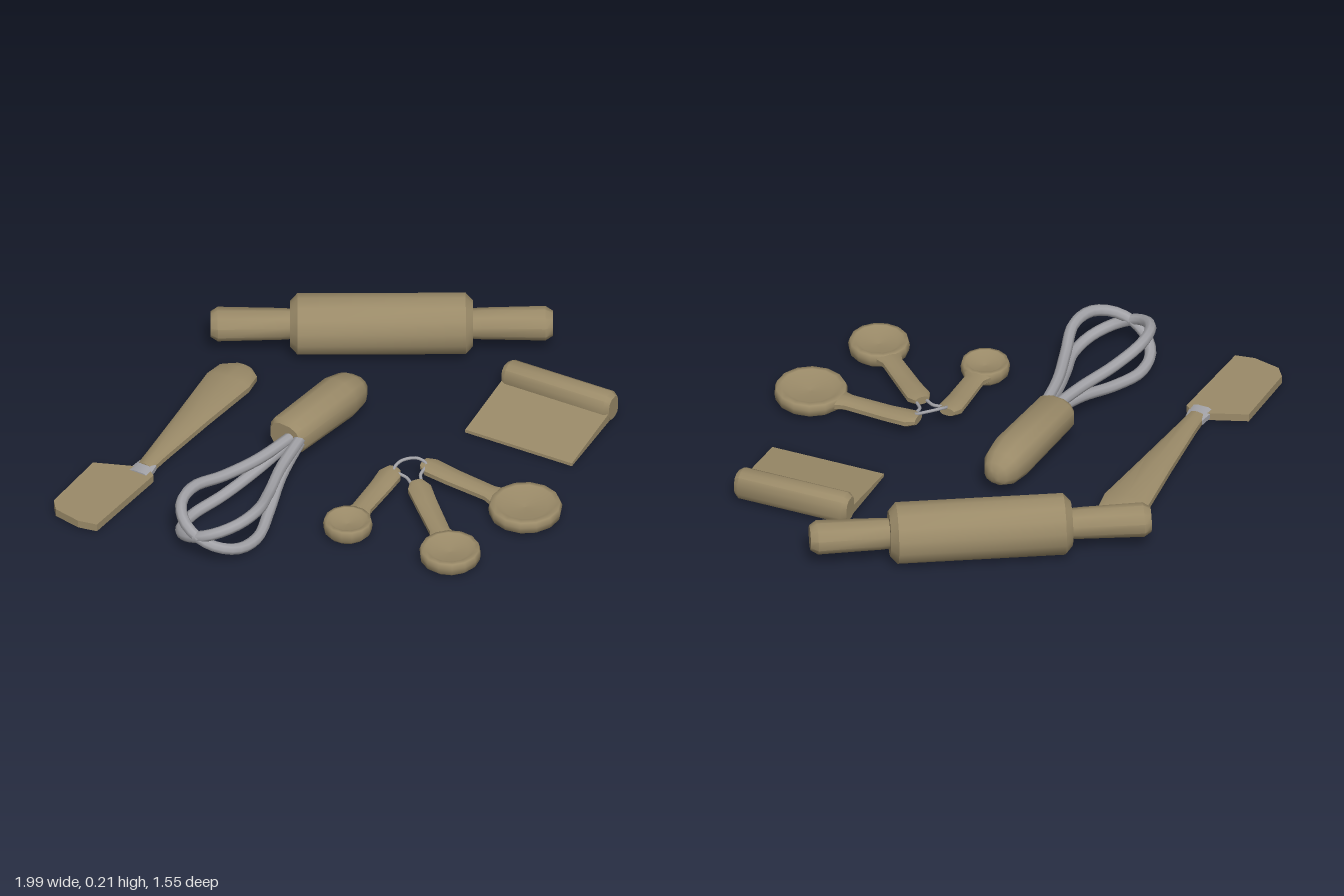
import * as THREE from 'three';
import { toCreasedNormals } from 'three/addons/utils/BufferGeometryUtils.js';

const tan = new THREE.MeshStandardMaterial({ color: 0x9a8a68 });
tan.name = 'tan';
const steel = new THREE.MeshStandardMaterial({ color: 0xa3a3a8 });
steel.name = 'steel grey';

function mesh(name, geo, mat = tan) {
  const m = new THREE.Mesh(geo, mat);
  m.name = name;
  return m;
}

// Skin of rounded sections along x. Station: [x, half width, half height, centre y].
// Power 1 gives an ellipse, smaller powers give a squarer section.
function loft(stations, sides = 12, power = 1, crease = 0.7) {
  const first = stations[0], last = stations[stations.length - 1];
  const rings = [[first[0], 0, 0, first[3]], ...stations, [last[0], 0, 0, last[3]]];
  const pos = [], idx = [];
  const soft = v => Math.sign(v) * Math.pow(Math.abs(v), power);
  for (const [x, w, h, y] of rings)
    for (let j = 0; j < sides; j++) {
      const a = ((j + 0.5) / sides) * Math.PI * 2;
      pos.push(x, y + h * soft(Math.sin(a)), w * soft(Math.cos(a)));
    }
  for (let i = 0; i < rings.length - 1; i++)
    for (let j = 0; j < sides; j++) {
      const a = i * sides + j, b = i * sides + (j + 1) % sides;
      if (i < rings.length - 2) idx.push(a, a + sides, b + sides);
      if (i > 0) idx.push(a, b + sides, b);
    }
  const geo = new THREE.BufferGeometry();
  geo.setAttribute('position', new THREE.Float32BufferAttribute(pos, 3));
  geo.setIndex(idx);
  return toCreasedNormals(geo, crease);
}

// Group at (x, z) on the ground whose local +x points towards (dx, dz)
function aimed(name, x, z, dx, dz, ...parts) {
  const g = new THREE.Group();
  g.name = name;
  g.position.set(x, 0, z);
  g.rotation.y = Math.atan2(-dz, dx);
  g.add(...parts);
  return g;
}

function rollingPin() {
  const y = 0.108;
  const grip = loft([
    [0.28, 0.05, 0.05, y], [0.34, 0.054, 0.054, y], [0.555, 0.062, 0.057, y], [0.58, 0.045, 0.042, y],
  ], 10);
  const left = mesh('rightGrip', grip);
  const right = mesh('leftGrip', grip);
  left.rotation.y = Math.PI;
  return aimed('rollingPin', 0.337, -0.565, 1.11, 0.33, left, right,
    mesh('roller', loft([
      [-0.31, 0.075, 0.08, y], [-0.285, 0.103, 0.107, y], [0.285, 0.103, 0.107, y], [0.31, 0.075, 0.08, y],
    ], 14)));
}

function whisk() {
  const g = new THREE.Group();
  g.name = 'whisk';
  g.add(aimed('whiskHandle', -0.165, -0.025, 0.33, -0.245, mesh('whiskGrip', loft([
    [-0.005, 0.062, 0.052, 0.118], [0.015, 0.075, 0.064, 0.118], [0.3, 0.077, 0.072, 0.107],
    [0.37, 0.066, 0.062, 0.1], [0.405, 0.046, 0.042, 0.096], [0.42, 0.02, 0.02, 0.095],
  ], 12, 0.8))));
  // Two wire loops crossing along the same axis
  const half = [[-0.03, 0.015], [0.15, 0.05], [0.3, 0.1], [0.43, 0.14], [0.53, 0.125], [0.59, 0.07]];
  const outline = [...half, [0.61, 0], ...half.map(([s, w]) => [s, -w]).reverse()];
  for (const tilt of [0.42, -0.42]) {
    const path = new THREE.CatmullRomCurve3(outline.map(([s, w]) => new THREE.Vector3(
      s, 0.115 - 0.03 * Math.min(1, s / 0.3) + 0.012 * Math.max(0, s - 0.3) / 0.3 + w * Math.sin(tilt),
      w * Math.cos(tilt))));
    g.add(aimed('wireLoop', -0.15, 0.01, -0.753, 0.658,
      mesh('wire', new THREE.TubeGeometry(path, 48, 0.02, 8), steel)));
  }
  return g;
}

function spatula() {
  const g = new THREE.Group();
  g.name = 'spatula';
  const outline = [
    [-0.8, -0.18], [-0.63, -0.1], [-0.625, -0.05], [-0.89, 0.165], [-0.945, 0.125], [-0.998, 0.04], [-0.99, -0.01],
  ].map(p => new THREE.Vector2(...p));
  const blade = new THREE.ExtrudeGeometry(new THREE.Shape(outline), { depth: 0.028, bevelEnabled: false });
  blade.rotateX(Math.PI / 2);
  blade.translate(0, 0.036, 0);
  g.add(mesh('spatulaBlade', blade));
  g.add(aimed('spatulaHandle', -0.65, -0.1, 0.46, -0.43,
    mesh('neck', loft([[-0.03, 0.045, 0.018, 0.024], [0.04, 0.034, 0.02, 0.024]], 8, 0.8), steel),
    mesh('spatulaGrip', loft([
      [0.015, 0.03, 0.022, 0.024], [0.1, 0.036, 0.024, 0.026], [0.35, 0.06, 0.026, 0.028],
      [0.58, 0.085, 0.027, 0.028], [0.65, 0.075, 0.024, 0.026], [0.685, 0.035, 0.015, 0.024],
    ], 10, 0.8))));
  return g;
}

function scraper() {
  // Blade profile slopes down from the bar to a thin front edge
  const profile = new THREE.Shape([[0, 0.025], [0, 0.06], [0.295, 0.018], [0.295, 0.006]]
    .map(p => new THREE.Vector2(...p)));
  const blade = new THREE.ExtrudeGeometry(profile, { depth: 0.41, bevelEnabled: false });
  blade.translate(0, 0, -0.205);
  const bar = mesh('scraperBar', loft([
    [-0.207, 0.034, 0.042, 0.062], [-0.19, 0.045, 0.054, 0.062],
    [0.19, 0.045, 0.054, 0.062], [0.207, 0.034, 0.042, 0.062],
  ], 12, 0.75));
  bar.rotation.y = Math.PI / 2;
  return aimed('scraper', 0.822, -0.083, -0.707, 0.707, bar, mesh('scraperBlade', blade));
}

// Dished bowl at local origin with a handle reaching along +x
function spoon(name, x, z, endX, endZ, r) {
  const length = Math.hypot(endX - x, endZ - z);
  const bowl = [
    [0, 0.008], [r * 0.82, 0.008], [r * 0.97, 0.022], [r, 0.045], [r * 0.95, 0.062],
    [r * 0.8, 0.064], [r * 0.62, 0.05], [0, 0.044],
  ].map(p => new THREE.Vector2(...p));
  return aimed(name, x, z, endX - x, endZ - z,
    mesh('bowl', new THREE.LatheGeometry(bowl, 14)),
    mesh('spoonHandle', loft([
      [r * 0.8, 0.05, 0.022, 0.04], [r * 1.15, 0.036, 0.02, 0.043], [length * 0.72, 0.039, 0.02, 0.048],
      [length - 0.03, 0.042, 0.021, 0.055], [length, 0.026, 0.015, 0.06],
    ], 10, 0.8)));
}

function measuringSpoons() {
  const g = new THREE.Group();
  g.name = 'measuringSpoons';
  g.add(spoon('smallSpoon', -0.078, 0.415, 0.155, 0.185, 0.084));
  g.add(spoon('mediumSpoon', 0.207, 0.67, 0.207, 0.28, 0.105));
  g.add(spoon('largeSpoon', 0.525, 0.498, 0.262, 0.18, 0.126));
  // Bent wire ring joining the handle ends
  const ring = new THREE.CatmullRomCurve3([
    [0.15, 0.07, 0.2], [0.18, 0.085, 0.178], [0.24, 0.085, 0.178], [0.265, 0.07, 0.2],
    [0.232, 0.06, 0.24], [0.222, 0.055, 0.29], [0.195, 0.055, 0.29], [0.182, 0.06, 0.24],
  ].map(p => new THREE.Vector3(...p)), true);
  g.add(mesh('ring', new THREE.TubeGeometry(ring, 40, 0.006, 6, true), steel));
  return g;
}

export function createModel() {
  const model = new THREE.Group();
  model.name = 'bakingTools';
  model.add(rollingPin(), whisk(), spatula(), scraper(), measuringSpoons());
  return model;
}
